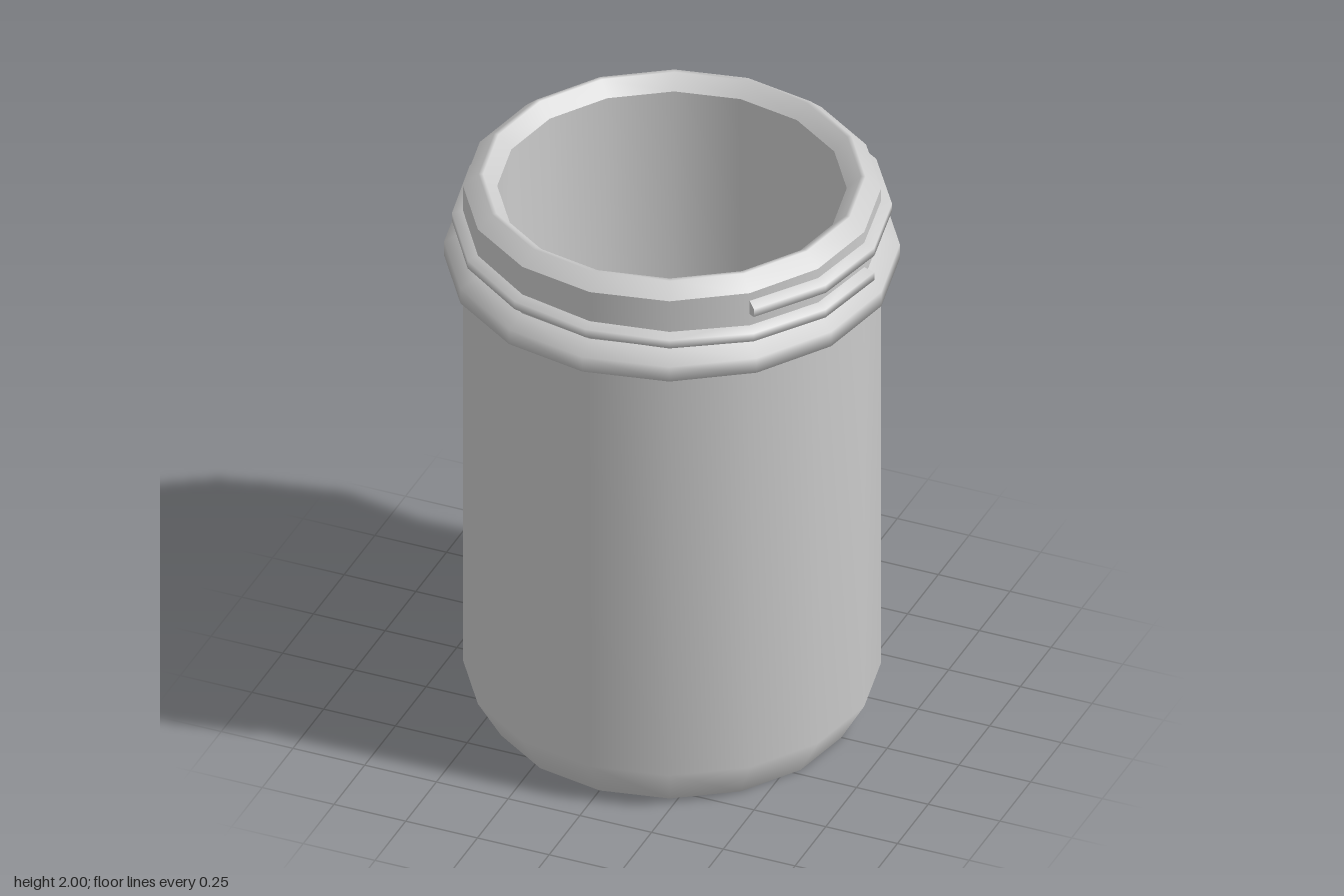
import * as THREE from 'three';

const SIDES = 16;
const material = new THREE.MeshStandardMaterial({ color: 0xcccccc });

function lathe(name, profile) {
  const points = profile.map(([r, y]) => new THREE.Vector2(r, y));
  const mesh = new THREE.Mesh(new THREE.LatheGeometry(points, SIDES), material);
  mesh.name = name;
  return mesh;
}

// Screw thread: a small section swept along a rising helix, with flat ends
function threadGeometry() {
  const section = [[0.655, -0.03], [0.705, -0.015], [0.705, 0.015], [0.655, 0.03]];
  const steps = 18, n = section.length;
  const positions = [], index = [];
  const addRing = (i) => {
    const a = (i / SIDES) * Math.PI * 2;
    const y = 1.795 + (i / steps) * 0.105;
    for (const [r, h] of section) positions.push(r * Math.cos(a), y + h, r * Math.sin(a));
  };
  for (let i = 0; i <= steps; i++) addRing(i);
  for (let i = 0; i < steps; i++) {
    for (let j = 0; j < n - 1; j++) {
      const a = i * n + j, b = a + n;
      index.push(a, a + 1, b, a + 1, b + 1, b);
    }
  }
  // End caps have their own vertices so their edges stay sharp
  const start = positions.length / 3;
  addRing(0);
  index.push(start, start + 2, start + 1, start, start + 3, start + 2);
  const end = start + n;
  addRing(steps);
  index.push(end, end + 1, end + 2, end, end + 2, end + 3);

  const geometry = new THREE.BufferGeometry();
  geometry.setAttribute('position', new THREE.Float32BufferAttribute(positions, 3));
  geometry.setIndex(index);
  geometry.computeVertexNormals();
  return geometry;
}

export function createModel() {
  const jar = new THREE.Group();
  jar.name = 'jar';

  jar.add(
    lathe('base', [[0, 0], [0.59, 0]]),
    lathe('outerWall', [[0.59, 0], [0.67, 0.14], [0.67, 1.955]]),
    lathe('rim', [[0.67, 1.955], [0.62, 2], [0.605, 2], [0.56, 1.955]]),
    lathe('innerWall', [[0.56, 1.955], [0.56, 0.17], [0.49, 0.08], [0, 0.08]]),
    lathe('neckRing', [[0.67, 1.665], [0.73, 1.687], [0.73, 1.742], [0.67, 1.777]])
  );

  const thread = new THREE.Mesh(threadGeometry(), material);
  thread.name = 'screwThread';
  jar.add(thread);

  return jar;
}
